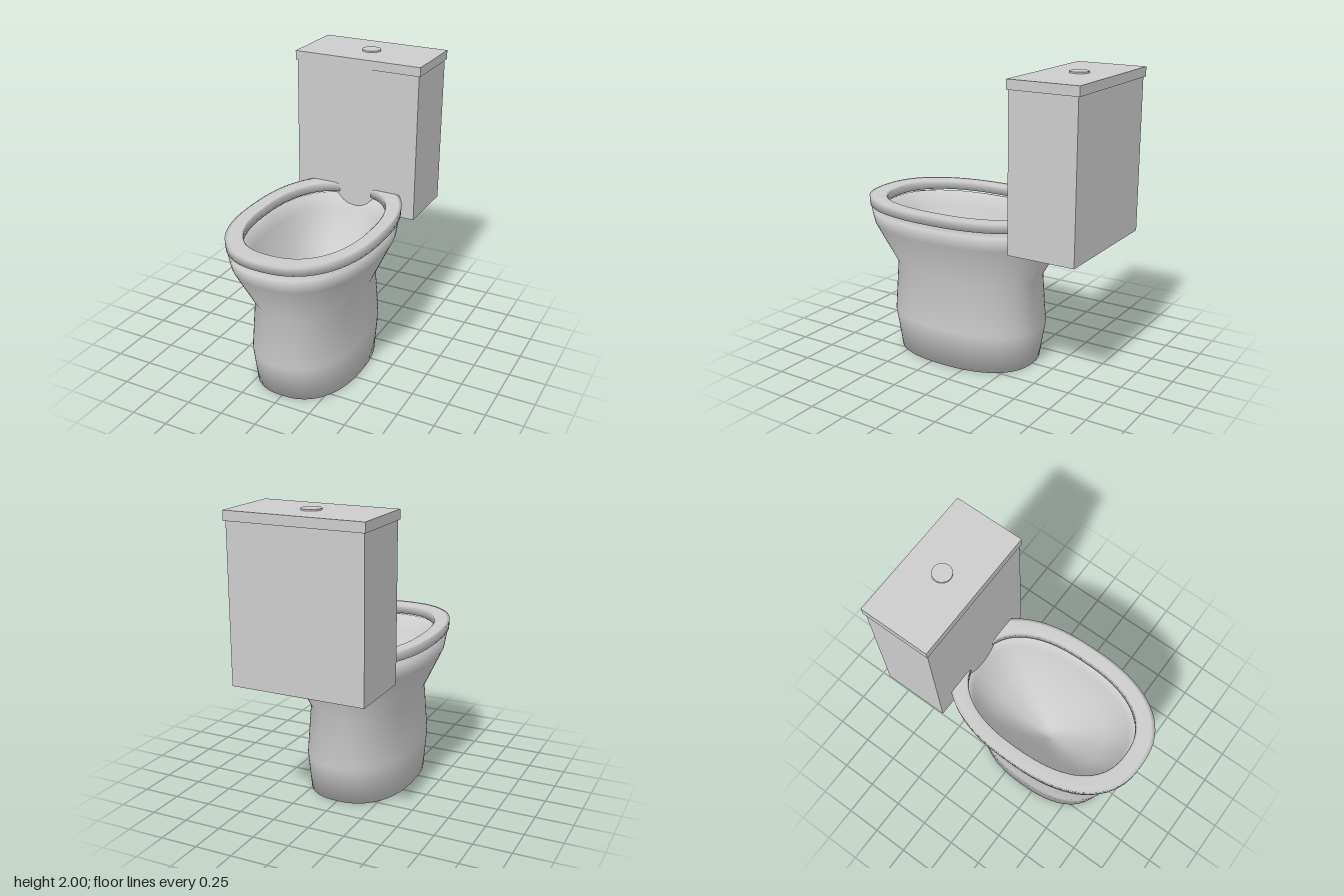
import * as THREE from 'three';

const SEGMENTS = 72;

// Smooth skin through rounded-oval rings: [y, half width, front z, back z]
function loft(sections, closed = false) {
  const positions = [], indices = [];
  const power = 2 / 2.4;
  const soft = v => Math.sign(v) * Math.pow(Math.abs(v), power);
  for (const [y, w, front, back] of sections) {
    for (let j = 0; j < SEGMENTS; j++) {
      const t = (j / SEGMENTS) * Math.PI * 2;
      positions.push(w * soft(Math.cos(t)), y,
        (front + back) / 2 - ((front - back) / 2) * soft(Math.sin(t)));
    }
  }
  const rings = sections.length;
  for (let i = 0; i < (closed ? rings : rings - 1); i++) {
    const low = i * SEGMENTS, high = ((i + 1) % rings) * SEGMENTS;
    for (let j = 0; j < SEGMENTS; j++) {
      const k = (j + 1) % SEGMENTS;
      indices.push(low + j, low + k, high + k, low + j, high + k, high + j);
    }
  }
  const geometry = new THREE.BufferGeometry();
  geometry.setAttribute('position', new THREE.Float32BufferAttribute(positions, 3));
  geometry.setIndex(indices);
  geometry.computeVertexNormals();
  return geometry;
}

export function createModel() {
  const group = new THREE.Group();
  const ceramic = new THREE.MeshStandardMaterial({ color: 0xcccccc });
  ceramic.name = 'ceramic';

  function add(name, geometry, x = 0, y = 0, z = 0) {
    const mesh = new THREE.Mesh(geometry, ceramic);
    mesh.name = name;
    mesh.position.set(x, y, z);
    group.add(mesh);
  }

  // Pedestal and bowl: up the outside, over the rim, down the inside
  add('bowl', loft([
    [0, 0.001, 0.161, 0.159],
    [0, 0.34, 0.66, -0.345],
    [0.26, 0.352, 0.712, -0.392],
    [0.61, 0.325, 0.69, -0.37],
    [0.89, 0.45, 0.843, -0.52],
    [0.985, 0.465, 0.866, -0.535],
    [1.01, 0.385, 0.76, -0.43],
    [0.9, 0.36, 0.72, -0.4],
    [0.7, 0.27, 0.58, -0.25],
    [0.52, 0.14, 0.36, -0.04],
    [0.42, 0.045, 0.205, 0.105],
    [0.42, 0.001, 0.156, 0.154],
  ]));

  // Seat ring
  add('seat', loft([
    [1.02, 0.477, 0.873, -0.543],
    [1.078, 0.48, 0.877, -0.547],
    [1.08, 0.46, 0.85, -0.52],
    [1.08, 0.39, 0.762, -0.436],
    [1.07, 0.38, 0.75, -0.425],
    [1.02, 0.38, 0.75, -0.425],
  ], true));

  // Cistern with lid and flush button
  add('tank', new THREE.BoxGeometry(0.885, 1.015, 0.455), 0, 1.4225, -0.637);
  add('tankLid', new THREE.BoxGeometry(0.906, 0.062, 0.476), 0, 1.959, -0.639);
  add('flushButton', new THREE.CylinderGeometry(0.063, 0.063, 0.02, 40), 0, 1.99, -0.64);

  return group;
}
